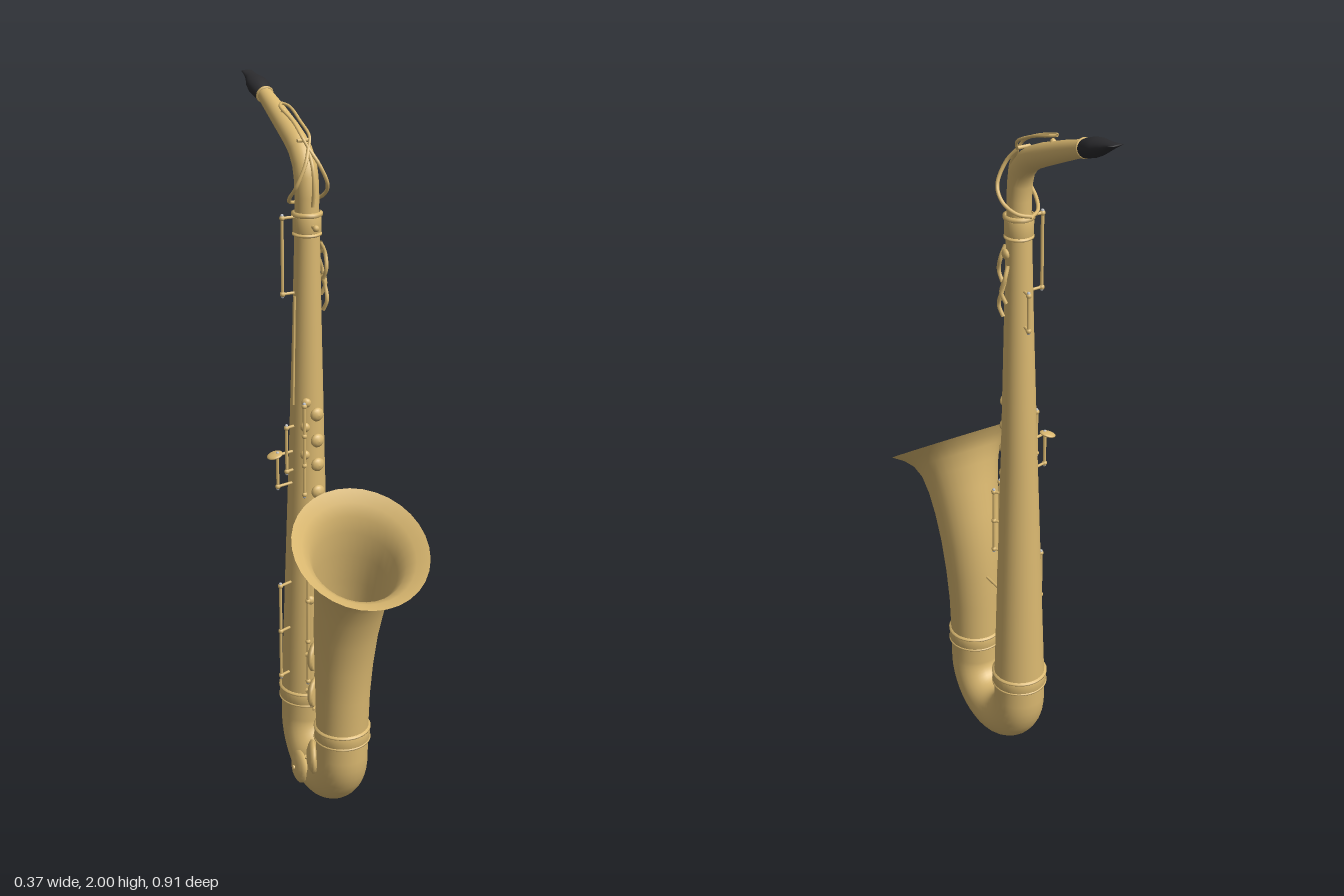
import * as THREE from 'three';

const brass = new THREE.MeshStandardMaterial({ color: 0xdab870, side: THREE.DoubleSide });
brass.name = 'brass';
const black = new THREE.MeshStandardMaterial({ color: 0x2b2b2e });
black.name = 'black ebonite';
const steel = new THREE.MeshStandardMaterial({ color: 0xb9bcc0 });
steel.name = 'steel screws';

const V = (x, y, z) => new THREE.Vector3(x, y, z);
const UP = V(0, 1, 0);
const lerp = THREE.MathUtils.lerp;
const rad = THREE.MathUtils.degToRad;

// Smooth tube through elliptical sections [z, y, tilt toward +z, radius across, radius in depth]
function loft(sections, seg = 32, capped = false) {
  const pos = [], idx = [];
  sections.forEach(([z, y, a, rx, rv = rx]) => {
    for (let j = 0; j < seg; j++) {
      const t = (j / seg) * Math.PI * 2, v = rv * Math.sin(t);
      pos.push(rx * Math.cos(t), y - Math.sin(a) * v, z + Math.cos(a) * v);
    }
  });
  const n = sections.length;
  for (let i = 0; i < n - 1; i++) for (let j = 0; j < seg; j++) {
    const a = i * seg + j, b = i * seg + (j + 1) % seg;
    idx.push(a, a + seg, b, b, a + seg, b + seg);
  }
  if (capped) for (let j = 1; j < seg - 1; j++) {
    const e = (n - 1) * seg;
    idx.push(0, j, j + 1, e, e + j + 1, e + j);
  }
  const g = new THREE.BufferGeometry();
  g.setAttribute('position', new THREE.Float32BufferAttribute(pos, 3));
  g.setIndex(idx);
  g.computeVertexNormals();
  return g;
}

// Centre and radius of the conical body at height y
const bodyAt = (y) => {
  const t = (y - 0.28) / 1.42;
  return { z: lerp(-0.055, -0.045, t), r: lerp(0.073, 0.032, t) };
};
// Point around the body; angle 0 is the front, positive toward +x
const around = (y, deg, off = 0) => {
  const { z, r } = bodyAt(y), a = rad(deg);
  return V(Math.sin(a) * (r + off), y, z + Math.cos(a) * (r + off));
};

export function createModel() {
  const root = new THREE.Group();
  root.name = 'saxophone';
  const add = (name, geo, mat = brass, parent = root) => {
    const m = new THREE.Mesh(geo, mat);
    m.name = name;
    parent.add(m);
    return m;
  };
  const rod = (name, a, b, r = 0.004, parent = root) => {
    const d = b.clone().sub(a);
    const m = add(name, new THREE.CylinderGeometry(r, r, d.length(), 8), brass, parent);
    m.position.copy(a).addScaledVector(d, 0.5);
    m.quaternion.setFromUnitVectors(UP, d.normalize());
    return m;
  };
  const wire = (name, pts, r = 0.004, closed = false) =>
    add(name, new THREE.TubeGeometry(new THREE.CatmullRomCurve3(pts, closed), 40, r, 8, closed));
  const band = (name, y, z, r, h) => {
    const p = [[r - 0.006, -h / 2], [r, -h / 2 + 0.003], [r, h / 2 - 0.003], [r - 0.006, h / 2]];
    add(name, new THREE.LatheGeometry(p.map((q) => new THREE.Vector2(...q)), 32)).position.set(0, y, z);
  };
  // Domed key cup facing a direction
  const cup = (name, at, dir, r, h = 0.018) => {
    const p = [[0, 0], [r * 0.9, 0], [r, h * 0.2], [r, h * 0.45], [r * 0.8, h * 0.7], [r * 0.45, h * 0.93], [0, h]];
    const m = add(name, new THREE.LatheGeometry(p.map((q) => new THREE.Vector2(...q)), 20));
    m.position.copy(at);
    m.quaternion.setFromUnitVectors(UP, dir.clone().normalize());
  };
  // Vertical hinge rod with steel ends and posts reaching to the body
  const hinge = (name, x, z, y0, y1, posts = 2) => {
    const g = new THREE.Group();
    g.name = name;
    root.add(g);
    rod('hingeRod', V(x, y0, z), V(x, y1, z), 0.0045, g);
    for (let i = 0; i < posts; i++) {
      const y = lerp(y0 + 0.006, y1 - 0.006, i / (posts - 1)), b = bodyAt(y);
      const out = V(x, 0, z - b.z).normalize().multiplyScalar(b.r * 0.95);
      rod('post', V(out.x, y, b.z + out.z), V(x, y, z), 0.004, g);
      add('postBall', new THREE.SphereGeometry(0.0075, 10, 8), brass, g).position.set(x, y, z);
    }
    for (const y of [y0, y1])
      add('screw', new THREE.SphereGeometry(0.005, 8, 6), steel, g).position.set(x, y, z);
  };

  // Conical body, bow and flared bell
  add('body', loft([[-0.044, 1.7, Math.PI, 0.032], [-0.046, 1.4, Math.PI, 0.039],
    [-0.05, 1, Math.PI, 0.05], [-0.055, 0.27, Math.PI, 0.073]]));
  const bow = [[-0.055, 0.28, Math.PI, 0.073]];
  for (let i = 0; i <= 20; i++) {
    const a = Math.PI * (1 - i / 20);
    bow.push([0.07 + 0.125 * Math.cos(a), 0.202 - 0.125 * Math.sin(a), a, 0.073 + 0.003 * Math.sin(a)]);
  }
  bow.push([0.195, 0.28, 0, 0.073]);
  add('bow', loft(bow));
  add('bell', loft([
    [0.195, 0.27, 0, 0.073], [0.197, 0.4, 2, 0.076], [0.203, 0.5, 4, 0.081], [0.214, 0.6, 8, 0.088],
    [0.234, 0.69, 15, 0.095], [0.254, 0.76, 24, 0.103], [0.27, 0.815, 30, 0.115],
    [0.284, 0.85, 33, 0.132], [0.295, 0.872, 33.7, 0.155], [0.305, 0.89, 33.7, 0.187],
  ].map(([z, y, a, r]) => [z, y, rad(a), r])));
  for (const z of [-0.055, 0.195]) {
    band('bowBand', 0.272, z, 0.078, 0.036);
    band('bowBandRim', 0.29, z, 0.08, 0.01);
    band('bowBandRim', 0.255, z, 0.08, 0.01);
  }

  // Neck, its collar and tightening screw
  add('neck', loft([
    [-0.045, 1.66, 0, 0.031], [-0.045, 1.74, 0, 0.032], [-0.049, 1.785, -14, 0.032], [-0.06, 1.82, -28, 0.032],
    [-0.088, 1.852, -48, 0.031], [-0.118, 1.87, -60, 0.03], [-0.16, 1.889, -66, 0.029],
    [-0.25, 1.925, -68, 0.025], [-0.335, 1.957, -69, 0.02],
  ].map(([z, y, a, r]) => [z, y, rad(a), r]), 28));
  band('collar', 1.668, -0.045, 0.038, 0.045);
  band('collarRim', 1.695, -0.045, 0.041, 0.014);
  band('collarRim', 1.642, -0.045, 0.039, 0.01);
  rod('collarScrew', V(0, 1.668, -0.01), V(0, 1.668, 0.012), 0.005);
  add('screwHead', new THREE.SphereGeometry(0.009, 10, 8)).position.set(0, 1.668, 0.012);
  const ring = add('neckRing', new THREE.TorusGeometry(0.021, 0.004, 8, 24));
  ring.position.set(0, 1.953, -0.325);
  ring.rotation.x = rad(21);

  // Mouthpiece tapering to a flat beak
  add('mouthpiece', loft([
    [-0.325, 1.952, -69, 0.021, 0.019], [-0.333, 1.955, -69, 0.026, 0.023], [-0.365, 1.967, -69, 0.031, 0.024],
    [-0.385, 1.974, -69, 0.029, 0.021], [-0.415, 1.984, -69, 0.019, 0.013],
    [-0.435, 1.991, -69, 0.016, 0.007], [-0.453, 1.997, -69, 0.016, 0.002],
  ].map(([z, y, a, x, v]) => [z, y, rad(a), x, v]), 24, true), black);

  // Octave key: wishbone around the neck and a long arm on top
  for (const s of [-1, 1]) {
    wire('octaveWishbone', [V(0, 1.865, -0.035), V(s * 0.018, 1.83, -0.012), V(s * 0.043, 1.775, -0.012),
      V(s * 0.048, 1.74, -0.045), V(s * 0.03, 1.718, -0.085), V(0, 1.712, -0.105)], 0.005);
    wire('octaveArm', [V(0, 1.865, -0.035), V(s * 0.01, 1.89, -0.05), V(s * 0.01, 1.92, -0.11),
      V(s * 0.012, 1.945, -0.19), V(0, 1.95, -0.21)], 0.004);
  }
  wire('octaveLoop', [V(0, 1.86, -0.035), V(0, 1.82, -0.008), V(0, 1.77, 0), V(0, 1.72, -0.008)], 0.005);
  cup('octavePad', V(0, 1.915, -0.2), V(0, 0.93, 0.37), 0.01, 0.025);
  rod('octavePivot', V(-0.018, 1.88, -0.065), V(0.018, 1.88, -0.065), 0.005);

  // Finger keys down the front of the body
  for (const y of [1.155, 1.08, 1.01, 0.93, 0.68, 0.5, 0.43, 0.36])
    cup('fingerKey', around(y, 6, 0.003), V(0.1, 0, 1), 0.019);
  for (const [y, deg] of [[1.19, -25], [1.12, -28], [1.04, -28], [0.84, -5], [0.76, -5], [0.6, -15]])
    cup('smallKey', around(y, deg, 0.002), V(Math.sin(rad(deg)), 0, Math.cos(rad(deg))), 0.013, 0.014);
  hinge('upperStack', -0.032, 0.008, 0.92, 1.19, 4);
  hinge('lowerStack', -0.03, 0.026, 0.34, 0.87, 5);
  hinge('frontRod', 0.042, 0.014, 0.68, 0.88, 3);
  hinge('bellKeyRod', 0, 0.05, 0.32, 0.88, 2);

  // Side key rods
  hinge('highSideRod', -0.07, -0.045, 1.48, 1.695, 2);
  hinge('middleSideRod', -0.068, -0.03, 0.98, 1.12, 2);
  hinge('sideRod', -0.095, -0.03, 0.94, 1.045, 2);
  hinge('lowerSideRod', -0.094, -0.02, 0.35, 0.65, 3);
  hinge('backRod', 0.01, -0.108, 1.4, 1.51, 2);
  rod('linkRod', around(1.48, -70, 0.006), around(1.18, -65, 0.008), 0.0035);
  cup('sideTouch', V(-0.1, 1.035, -0.035), V(-0.3, 1, 0), 0.022, 0.01);

  // Palm keys on the left of the upper body
  for (const [y, deg] of [[1.62, 65], [1.57, 95], [1.53, 80]])
    wire('palmKey', [around(y, deg, 0), around(y - 0.03, deg + 6, 0.012), around(y - 0.07, deg - 6, 0.015),
      around(y - 0.1, deg + 4, 0.006)], 0.0055);
  cup('palmPad', around(1.6, 85, 0), V(1, 0, 0), 0.014, 0.012);

  // Large pads on the bell and bow, with their levers and brace
  const slant = V(-0.75, 0, -0.66);
  for (const y of [0.5, 0.385]) {
    cup('bellPad', V(0, y, 0.2).addScaledVector(slant, 0.076), slant, 0.043, 0.024);
    rod('bellPadStem', V(0, y, 0.2).addScaledVector(slant, 0.05), V(0, y, 0.2).addScaledVector(slant, 0.108), 0.006);
  }
  for (const y of [0.51, 0.32]) rod('bellLever', V(0, y, 0.05), V(-0.062, y, 0.135), 0.004);
  rod('bellBrace', V(0, 0.51, 0.01), V(0, 0.51, 0.13), 0.004);
  for (const [y, z, d] of [[0.185, 0.165, V(-1, 0, -0.35)], [0.095, 0.07, V(-1, 0.1, 0)]]) {
    const at = V(-0.068, y, z);
    cup('bowPad', at, d, 0.047, 0.026);
    rod('bowPadStem', at, at.clone().addScaledVector(d.clone().normalize(), 0.03), 0.006);
  }
  return root;
}
